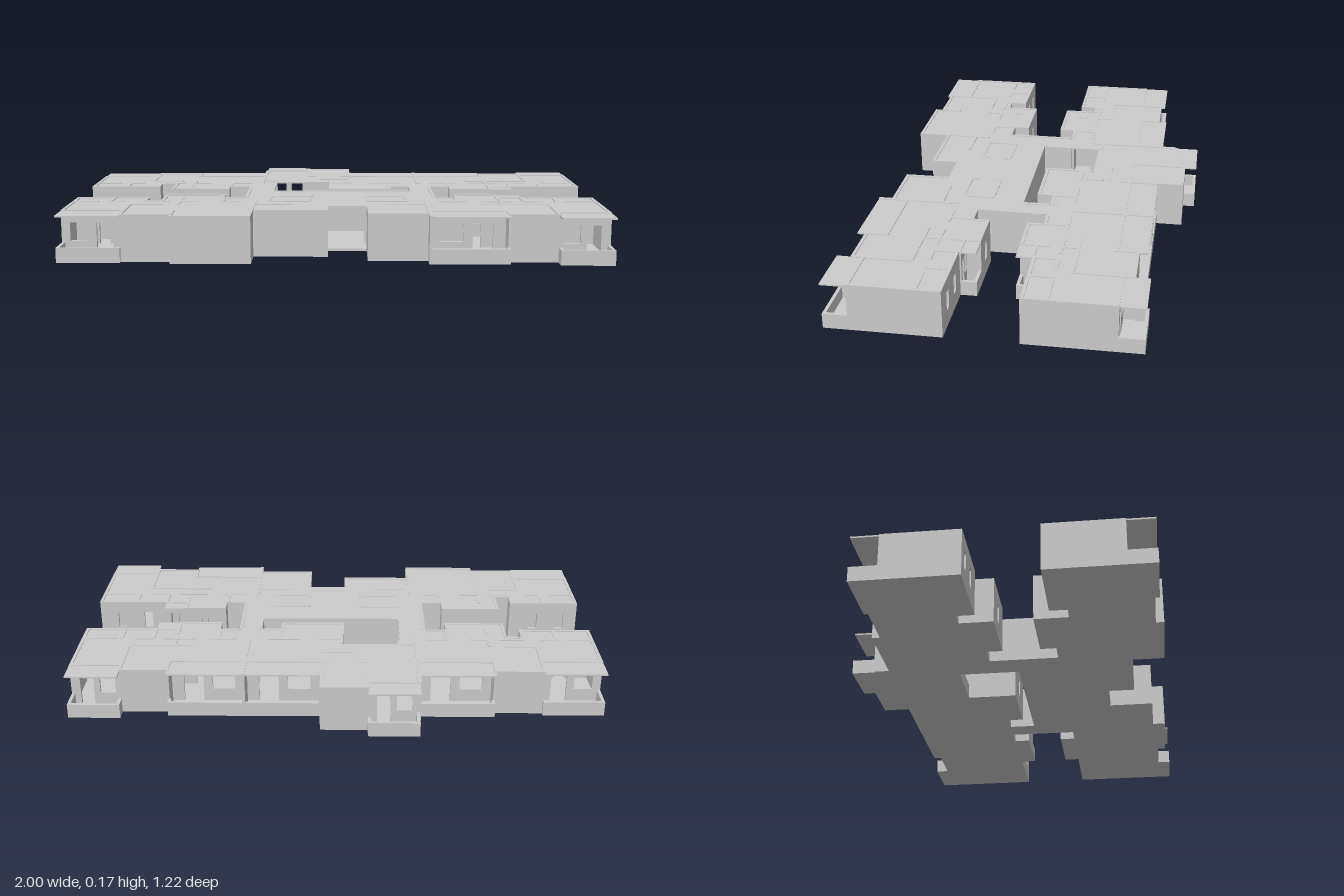
import * as THREE from 'three';

const T = 0.012;          // wall thickness
const H = 0.175;          // wall height, just proud of the roof
const LOW = 0.055;        // balcony parapet height
const SILL = 0.06, HEAD = 0.128;
const mat = new THREE.MeshStandardMaterial({ color: 0xcccccc, flatShading: true });
const flip = (z) => 0.12 - z;   // the back wings repeat as the front wings
const flipPts = (pts) => pts.map(([x, z]) => [x, flip(z)]);

export function createModel() {
  const model = new THREE.Group();
  const groups = {};
  const add = (name, geo) => {
    if (!groups[name]) {
      groups[name] = new THREE.Group();
      groups[name].name = name;
      model.add(groups[name]);
    }
    const mesh = new THREE.Mesh(geo, mat);
    mesh.name = name;
    groups[name].add(mesh);
  };

  // One straight wall; openings are [from, to, sill, head] along its axis
  function wall(name, x0, z0, x1, z1, h = H, openings = []) {
    const alongX = Math.abs(x1 - x0) > Math.abs(z1 - z0);
    const a = alongX ? Math.min(x0, x1) : Math.min(z0, z1);
    const b = alongX ? Math.max(x0, x1) : Math.max(z0, z1);
    const piece = (s, e, y0, y1) => {
      if (e - s < 0.001 || y1 - y0 < 0.001) return;
      const g = new THREE.BoxGeometry(alongX ? e - s : T, y1 - y0, alongX ? T : e - s);
      const c = (s + e) / 2, y = (y0 + y1) / 2;
      add(name, alongX ? g.translate(c, y, z0) : g.translate(x0, y, c));
    };
    let at = a;
    for (const [s, e, sill, head] of [...openings].sort((p, q) => p[0] - q[0])) {
      piece(at, s, 0, h);
      piece(s, e, 0, sill);
      piece(s, e, head, h);
      at = e;
    }
    piece(at, b, 0, h);
  }

  // Plan outline, wing by wing
  const west = [[-0.305, -0.465], [-0.59, -0.465], [-0.59, -0.435], [-0.77, -0.435], [-0.77, -0.45],
    [-1, -0.45], [-1, -0.345], [-1, -0.07], [-0.72, -0.07], [-0.72, -0.135], [-0.665, -0.135],
    [-0.665, -0.01], [-0.43, -0.01], [-0.43, -0.07], [-0.35, -0.07]];
  const east = [[0.63, -0.465], [0.63, -0.435], [0.805, -0.435], [0.805, -0.485], [1, -0.485],
    [1, -0.39], [1, -0.07], [0.72, -0.07], [0.72, -0.01], [0.63, -0.01], [0.465, -0.01],
    [0.465, -0.07], [0.39, -0.07]];
  const outline = [
    [0.06, -0.565], [-0.115, -0.565], [-0.115, -0.61], [-0.305, -0.61], [-0.305, -0.52],
    ...west, ...flipPts(west).reverse(),
    [-0.305, 0.465], [-0.025, 0.465], [-0.025, 0.365], [0.12, 0.365], [0.12, 0.535], [0.345, 0.535],
    [0.345, 0.585], ...flipPts(east), ...[...east].reverse(), [0.06, -0.465],
  ];
  const court = [[-0.245, -0.2], [-0.025, -0.2], [-0.025, -0.01], [0.225, -0.01], [0.225, -0.07],
    [0.3, -0.07], [0.3, 0.03], [-0.245, 0.03]];

  // Balconies: x0, x1, outer z, inner z
  const paired = [[-1, -0.77, -0.45, -0.345], [0.805, 1, -0.485, -0.39], [0.63, 0.72, -0.01, -0.07]];
  const balconies = [
    ...paired, ...paired.map(([a, b, c, d]) => [a, b, flip(c), flip(d)]),
    [-0.59, -0.305, -0.465, -0.355], [-0.305, -0.115, -0.61, -0.52],
    [0.06, 0.345, -0.465, -0.355], [0.345, 0.63, -0.465, -0.355], [0.345, 0.63, 0.585, 0.475],
  ];
  const lowZones = [...balconies, [0.06, 0.63, -0.465, -0.355], [-0.245, -0.245, -0.2, 0.03],
    [-0.245, -0.025, -0.2, -0.2]];
  const openZones = [[-0.025, 0.12, 0.365, 0.365]];
  const inside = (zones, x, z) => zones.some(([a, b, c, d]) =>
    x > a - 0.002 && x < b + 0.002 && z > Math.min(c, d) - 0.002 && z < Math.max(c, d) + 0.002);

  // Windows on the faces between the wings
  const winBack = [[-0.93, -0.07], [-0.82, -0.07], [-0.55, -0.01], [0.55, -0.01], [0.8, -0.07], [0.91, -0.07]];
  const windows = [...winBack, ...flipPts(winBack), [0.1, -0.01]];

  // Floor and roof slabs share the outline
  const v = (pts) => pts.map(([x, z]) => new THREE.Vector2(x, -z));
  const slab = (name, y, depth) => {
    const shape = new THREE.Shape(v(outline));
    shape.holes.push(new THREE.Path(v(court)));
    const g = new THREE.ExtrudeGeometry(shape, { depth, bevelEnabled: false });
    add(name, g.rotateX(-Math.PI / 2).translate(0, y, 0));
  };
  slab('floor', 0, 0.01);
  slab('roof', 0.166, 0.006);

  // Outer walls and parapets stand just inside the outline
  for (const loop of [outline, [...court].reverse(), ]) {
    const isCourt = loop !== outline;
    loop.forEach(([x0, z0], i) => {
      const [x1, z1] = loop[(i + 1) % loop.length];
      const len = Math.hypot(x1 - x0, z1 - z0);
      const mx = (x0 + x1) / 2, mz = (z0 + z1) / 2;
      if (len < 0.001 || inside(openZones, mx, mz)) return;
      const s = isCourt ? -T / 2 : T / 2;
      const ox = (z1 - z0) / len * s, oz = -(x1 - x0) / len * s;
      const low = inside(lowZones, mx, mz);
      const holes = low ? [] : windows
        .filter(([x, z]) => Math.abs(z - z0) < 0.002 && Math.abs(z - z1) < 0.002 && (x - x0) * (x - x1) < 0)
        .map(([x]) => [x - 0.017, x + 0.017, SILL, HEAD]);
      wall(low ? 'balconyParapet' : 'outerWall', x0 + ox, z0 + oz, x1 + ox, z1 + oz, low ? LOW : H, holes);
    });
  }

  // Glazed balcony walls: piers with a window and a door
  for (const [a, b, , inner] of balconies) {
    const w = b - a;
    wall('balconyWall', a, inner, b, inner, H, [
      [a + w * 0.14, a + w * 0.44, SILL, HEAD],
      [a + w * 0.56, a + w * 0.82, 0.01, HEAD],
    ]);
  }

  // Partitions repeated in the back and front wings: x0, z0, x1, z1
  const inner = [
    [-1, -0.16, -0.9, -0.16], [-0.855, -0.16, -0.855, -0.07], [-0.855, -0.16, -0.8, -0.16],
    [-0.73, -0.16, -0.63, -0.16], [-0.665, -0.16, -0.665, -0.135], [-0.72, -0.16, -0.72, -0.135],
    [-0.59, -0.16, -0.52, -0.16], [-0.43, -0.16, -0.35, -0.16], [-0.43, -0.16, -0.43, -0.07],
    [-0.59, -0.11, -0.59, -0.07], [-0.77, -0.435, -0.77, -0.22], [-0.77, -0.22, -0.645, -0.22],
    [-0.59, -0.435, -0.59, -0.35], [-0.59, -0.22, -0.59, -0.16], [-0.305, -0.465, -0.305, -0.16],
    [0.345, -0.465, 0.345, -0.16], [0.63, -0.435, 0.63, -0.35], [0.805, -0.435, 0.805, -0.22],
    [0.55, -0.22, 0.805, -0.22], [0.63, -0.22, 0.63, -0.16], [0.4, -0.16, 0.5, -0.16],
    [0.56, -0.16, 0.68, -0.16], [0.465, -0.16, 0.465, -0.07], [0.63, -0.12, 0.63, -0.01],
    [0.72, -0.16, 0.72, -0.07], [0.72, -0.16, 0.79, -0.16], [0.845, -0.16, 0.845, -0.07],
    [0.87, -0.16, 1, -0.16],
  ];
  for (const [a, b, c, d] of inner) {
    wall('partition', a, b, c, d);
    wall('partition', a, flip(b), c, flip(d));
  }

  // Partitions of the central rooms
  for (const p of [
    [-0.305, -0.52, -0.305, -0.465], [-0.115, -0.565, -0.115, -0.355], [-0.115, -0.355, -0.085, -0.355],
    [0.06, -0.465, 0.06, -0.32], [0.02, -0.355, 0.06, -0.355], [-0.07, -0.27, 0.06, -0.27],
    [0.055, -0.25, 0.055, -0.18], [-0.305, -0.21, -0.245, -0.21], [-0.025, -0.16, 0.07, -0.16],
    [0.14, -0.16, 0.27, -0.16], [0.225, -0.16, 0.225, -0.07], [0.3, -0.1, 0.3, -0.07],
    [-0.25, 0.155, -0.095, 0.155], [-0.25, 0.155, -0.25, 0.27], [-0.25, 0.27, -0.095, 0.27],
    [-0.095, 0.155, -0.095, 0.18], [-0.095, 0.245, -0.095, 0.27],
    [0.12, 0.155, 0.275, 0.155], [0.275, 0.155, 0.275, 0.27], [0.12, 0.27, 0.275, 0.27],
    [0.12, 0.155, 0.12, 0.18], [0.12, 0.245, 0.12, 0.27],
    [-0.305, 0.34, -0.16, 0.34], [0.2, 0.34, 0.345, 0.34],
  ]) wall('partition', ...p);

  return model;
}
